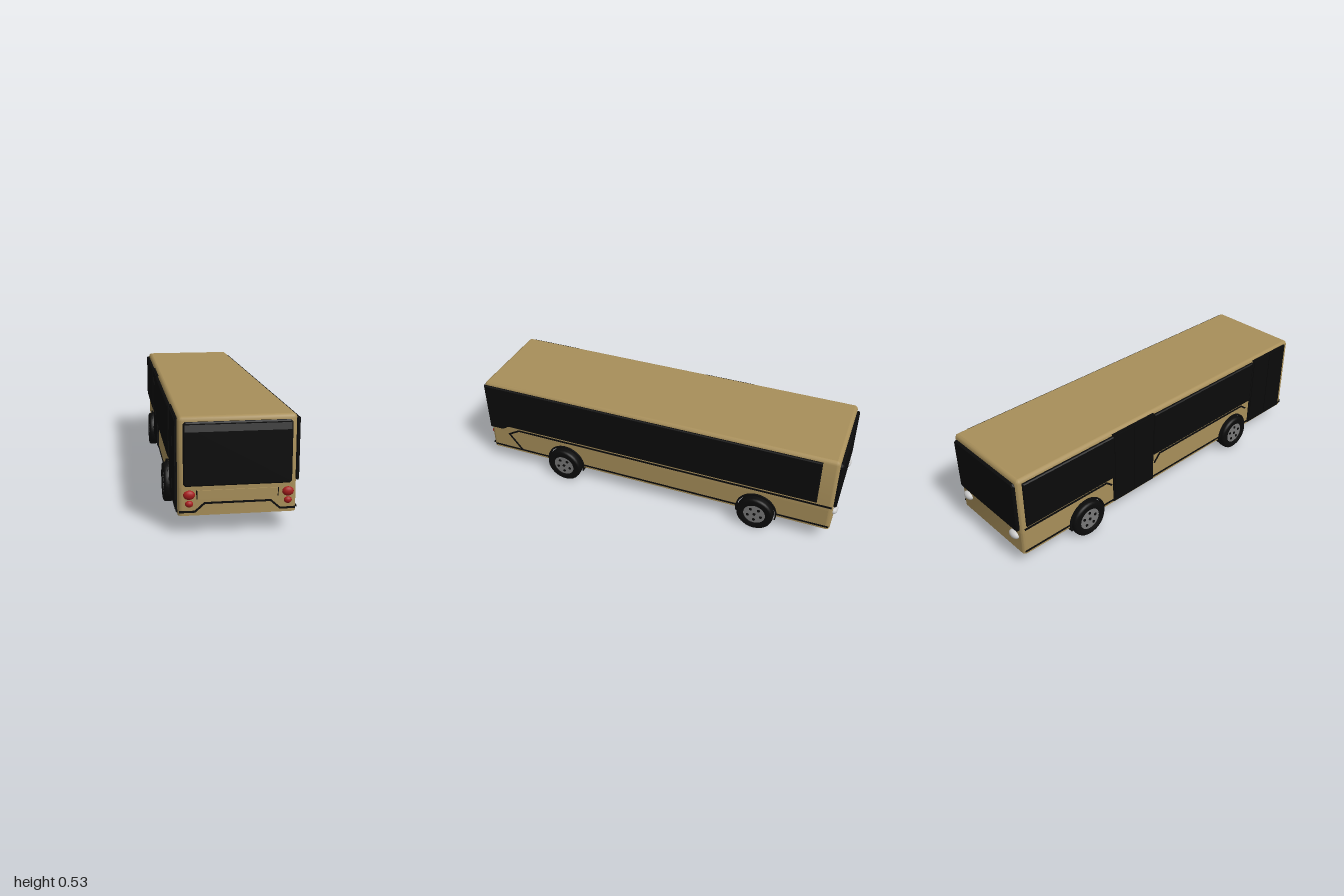
import * as THREE from 'three';
import { toCreasedNormals } from 'three/addons/utils/BufferGeometryUtils.js';

const mat = (color, side = THREE.FrontSide) => new THREE.MeshStandardMaterial({ color, side });
const paint = mat(0xa88f5a, THREE.DoubleSide);
const black = mat(0x0b0b0b);
const red = mat(0xa51c1c);
const white = mat(0xdddddd);
const grey = mat(0x777777);
const shade = mat(0x444444);

// Body extents
const CX = -0.005, CZ = 0.005, HX = 0.26, HZ = 0.98, R = 0.02;
const FLOOR = 0.09, SKIRT = 0.215, AXLE_Y = 0.1, ARCH = 0.107;
const AXLES = [0.515, -0.59];

// Each wall: rotation, sign of the drawing coordinate, wall position
const WALLS = {
  left: { angle: Math.PI / 2, sign: -1, at: [CX + HX, 0, 0], out: [1, 0, 0] },
  right: { angle: -Math.PI / 2, sign: 1, at: [CX - HX, 0, 0], out: [-1, 0, 0] },
  front: { angle: 0, sign: 1, at: [0, 0, CZ + HZ], out: [0, 0, 1] },
  back: { angle: Math.PI, sign: -1, at: [0, 0, CZ - HZ], out: [0, 0, -1] },
};

export function createModel() {
  const root = new THREE.Group();
  root.name = 'bus';

  const add = (name, geometry, material, parent = root) => {
    const mesh = new THREE.Mesh(geometry, material);
    mesh.name = name;
    parent.add(mesh);
    return mesh;
  };

  // Outline drawn on a wall and extruded outwards from an offset
  const panel = (name, wall, pts, material, depth, start = 0.001, bevel = 0) => {
    const w = WALLS[wall];
    const shape = new THREE.Shape(pts.map(([u, v]) => new THREE.Vector2(u * w.sign, v)));
    const geo = new THREE.ExtrudeGeometry(shape, {
      depth: depth - bevel, bevelEnabled: bevel > 0, bevelSize: bevel,
      bevelOffset: -bevel, bevelThickness: bevel, bevelSegments: 1,
    });
    geo.translate(0, 0, start).rotateY(w.angle).translate(...w.at);
    return add(name, geo, material);
  };

  const rect = (u0, u1, v0, v1, c = 0) => c === 0
    ? [[u0, v0], [u1, v0], [u1, v1], [u0, v1]]
    : [[u0 + c, v0], [u1 - c, v0], [u1, v0 + c], [u1, v1 - c],
      [u1 - c, v1], [u0 + c, v1], [u0, v1 - c], [u0, v0 + c]];

  // Band of constant width along a polyline, with mitred corners
  const ribbon = (pts, width) => {
    const p = pts.map(([x, y]) => new THREE.Vector2(x, y));
    const normal = (a, b) => new THREE.Vector2(a.y - b.y, b.x - a.x).normalize();
    const offset = (s) => p.map((q, i) => {
      const n1 = normal(p[Math.max(i - 1, 0)], p[Math.max(i, 1)]);
      const last = p.length - 1;
      const n2 = normal(p[Math.min(i, last - 1)], p[Math.min(i + 1, last)]);
      const m = n1.clone().add(n2).normalize();
      const k = s * width / 2 / m.dot(n1);
      return [q.x + m.x * k, q.y + m.y * k];
    });
    return [...offset(1), ...offset(-1).reverse()];
  };

  // Rounded plan of the body, shrunk by an inset
  const plan = (inset) => {
    const pts = [];
    const r = Math.max(R - inset, 0.002);
    for (let q = 0; q < 4; q++) {
      const sx = q === 0 || q === 3 ? 1 : -1, sz = q < 2 ? 1 : -1;
      for (let i = 0; i <= 5; i++) {
        const a = (q + i / 5) * Math.PI / 2;
        pts.push([CX + sx * (HX - inset - r) + r * Math.cos(a),
          CZ + sz * (HZ - inset - r) + r * Math.sin(a)]);
      }
    }
    return pts;
  };

  // Skin through rows of plan points
  const loft = (rows, closed) => {
    const n = rows[0].pts.length, pos = [], idx = [];
    rows.forEach(({ y, pts }) => pts.forEach(([x, z]) => pos.push(x, y, z)));
    for (let j = 0; j < rows.length - 1; j++) {
      for (let i = 0; i < (closed ? n : n - 1); i++) {
        const a = j * n + i, b = j * n + (i + 1) % n;
        idx.push(a, a + n, b, b, a + n, b + n);
      }
    }
    const geo = new THREE.BufferGeometry();
    geo.setAttribute('position', new THREE.Float32BufferAttribute(pos, 3));
    geo.setIndex(idx);
    geo.computeVertexNormals();
    return toCreasedNormals(geo, 0.6);
  };

  // Upper shell and roof
  const rows = [[0, SKIRT], [0, 0.508], [0.004, 0.519], [0.011, 0.525], [0.018, 0.527]];
  add('upperBody', loft(rows.map(([i, y]) => ({ y, pts: plan(i) })), true), paint);
  const roofShape = new THREE.Shape(plan(0.018).map(([x, z]) => new THREE.Vector2(x, -z)));
  add('roof', new THREE.ShapeGeometry(roofShape).rotateX(-Math.PI / 2).translate(0, 0.527, 0), paint);

  // Lower end walls, open below
  for (const [name, from] of [['frontSkirt', 0], ['backSkirt', 12]]) {
    const pts = plan(0).slice(from, from + 12);
    add(name, loft([{ y: FLOOR, pts }, { y: SKIRT, pts }], false), paint);
  }

  // Lower side walls with wheel cut-outs
  const z0 = CZ - HZ + R, z1 = CZ + HZ - R;
  const skirt = [[z0, SKIRT], [z0, FLOOR]];
  for (const c of [...AXLES].reverse()) {
    skirt.push([c - ARCH, FLOOR]);
    for (let i = 0; i <= 24; i++) {
      const a = i / 24 * Math.PI;
      skirt.push([c - ARCH * Math.cos(a), AXLE_Y + ARCH * Math.sin(a)]);
    }
    skirt.push([c + ARCH, FLOOR]);
  }
  skirt.push([z1, FLOOR], [z1, SKIRT]);
  for (const side of ['left', 'right']) {
    const w = WALLS[side];
    const shape = new THREE.Shape(skirt.map(([z, y]) => new THREE.Vector2(z * w.sign, y)));
    add(side + 'Skirt', new THREE.ShapeGeometry(shape).rotateY(w.angle).translate(...w.at), paint);
  }

  // Wheel arches and wheels
  const tyre = new THREE.LatheGeometry([[0.055, -0.024], [0.088, -0.026], [0.096, -0.02],
    [0.098, -0.01], [0.098, 0.01], [0.096, 0.02], [0.088, 0.026], [0.06, 0.024], [0.057, 0.014]]
    .map(([r, y]) => new THREE.Vector2(r, y)), 32);
  const hub = new THREE.CylinderGeometry(0.059, 0.059, 0.04, 28);
  const nut = new THREE.CylinderGeometry(0.008, 0.008, 0.006, 10);
  for (const side of ['left', 'right']) {
    for (const z of AXLES) {
      const arc = [];
      for (let i = 0; i <= 24; i++) {
        const a = -0.28 + i / 24 * (Math.PI + 0.56);
        arc.push([z + 0.107 * Math.cos(a), AXLE_Y + 0.107 * Math.sin(a)]);
      }
      panel(side + 'WheelArch', side, ribbon(arc, 0.007), black, 0.032, -0.022);

      const wheel = new THREE.Group();
      wheel.name = side + (z > 0 ? 'FrontWheel' : 'BackWheel');
      add('tyre', tyre, black, wheel);
      add('hub', hub, grey, wheel);
      add('hubCap', nut, black, wheel).position.y = 0.021;
      for (let i = 0; i < 5; i++) {
        const a = i / 5 * Math.PI * 2;
        add('wheelHole', nut, black, wheel).position.set(0.037 * Math.cos(a), 0.02, 0.037 * Math.sin(a));
      }
      const s = side === 'left' ? 1 : -1;
      wheel.rotation.z = -s * Math.PI / 2;
      wheel.position.set(s * 0.269, 0.099, z);
      root.add(wheel);
    }
  }

  // Left side glass and trim
  panel('leftWindow', 'left', [[-0.893, 0.257], [0.867, 0.257], [0.905, 0.232], [0.982, 0.232],
    [0.982, 0.513], [-0.893, 0.513]], black, 0.011, 0.001, 0.005);
  panel('leftTrim', 'left', ribbon([[-0.97, 0.24], [0.805, 0.24], [0.868, 0.203], [0.795, 0.108]], 0.009), black, 0.004);
  for (const [a, b] of [[-0.97, -0.7], [-0.48, 0.405], [0.625, 0.97]])
    panel('leftLowerTrim', 'left', rect(a, b, 0.104, 0.112), black, 0.004);

  // Right side glass, doors and trim
  for (const [a, b] of [[-0.95, -0.41], [-0.13, 0.65]])
    panel('rightWindow', 'right', rect(a, b, 0.257, 0.508), black, 0.014, 0.001, 0.005);
  for (const [a, b] of [[-0.41, -0.13], [0.66, 0.95]]) {
    panel('doorFrame', 'right', rect(a, b, 0.098, 0.515), black, 0.01, -0.004);
    const mid = (a + b) / 2;
    for (const [c, d] of [[a + 0.01, mid - 0.003], [mid + 0.003, b - 0.01]])
      panel('doorLeaf', 'right', rect(c, d, 0.108, 0.505), black, 0.005, 0.005);
  }
  panel('rightTrim', 'right', ribbon([[-0.96, 0.24], [-0.455, 0.24], [-0.42, 0.21]], 0.009), black, 0.004);
  panel('rightTrim', 'right', ribbon([[-0.12, 0.195], [-0.08, 0.24], [0.59, 0.24], [0.63, 0.21]], 0.009), black, 0.004);
  for (const [a, b] of [[-0.97, -0.7], [-0.48, -0.41], [-0.13, 0.405], [0.625, 0.66], [0.95, 0.975]])
    panel('rightLowerTrim', 'right', rect(a, b, 0.104, 0.112), black, 0.004);

  // Front window, panel and bumper trim
  panel('frontWindow', 'front', rect(-0.243, 0.232, 0.223, 0.505, 0.01), black, 0.012, 0.001, 0.006);
  panel('sunStrip', 'front', rect(-0.235, 0.225, 0.463, 0.494), shade, 0.002, 0.0125);
  panel('frontPanel', 'front', rect(-0.183, 0.173, 0.165, 0.203), paint, 0.005);
  for (const x of [-0.184, 0.172])
    panel('panelEnd', 'front', rect(x - 0.002, x + 0.002, 0.165, 0.203), black, 0.006);
  panel('bumperTrim', 'front', ribbon([[-0.26, 0.108], [-0.192, 0.108], [-0.15, 0.145],
    [0.14, 0.145], [0.182, 0.108], [0.25, 0.108]], 0.008), black, 0.006, -0.002);

  // Back window
  panel('backWindow', 'back', rect(-0.248, 0.238, 0.225, 0.505, 0.01), black, 0.014, 0.001, 0.006);

  // Lamps
  const lamp = (name, material, x, y, z, sx, sy, sz) => {
    const mesh = add(name, new THREE.SphereGeometry(1, 16, 10), material);
    mesh.scale.set(sx, sy, sz);
    mesh.position.set(x, y, z);
  };
  for (const s of [-1, 1]) {
    lamp('largeRedLamp', red, s * 0.217, 0.183, 0.985, 0.026, 0.021, 0.015);
    lamp('smallRedLamp', red, s * 0.217, 0.143, 0.985, 0.018, 0.015, 0.013);
    lamp('whiteLamp', white, s * 0.196 - 0.004, 0.183, -0.978, 0.034, 0.022, 0.02);
  }
  return root;
}
